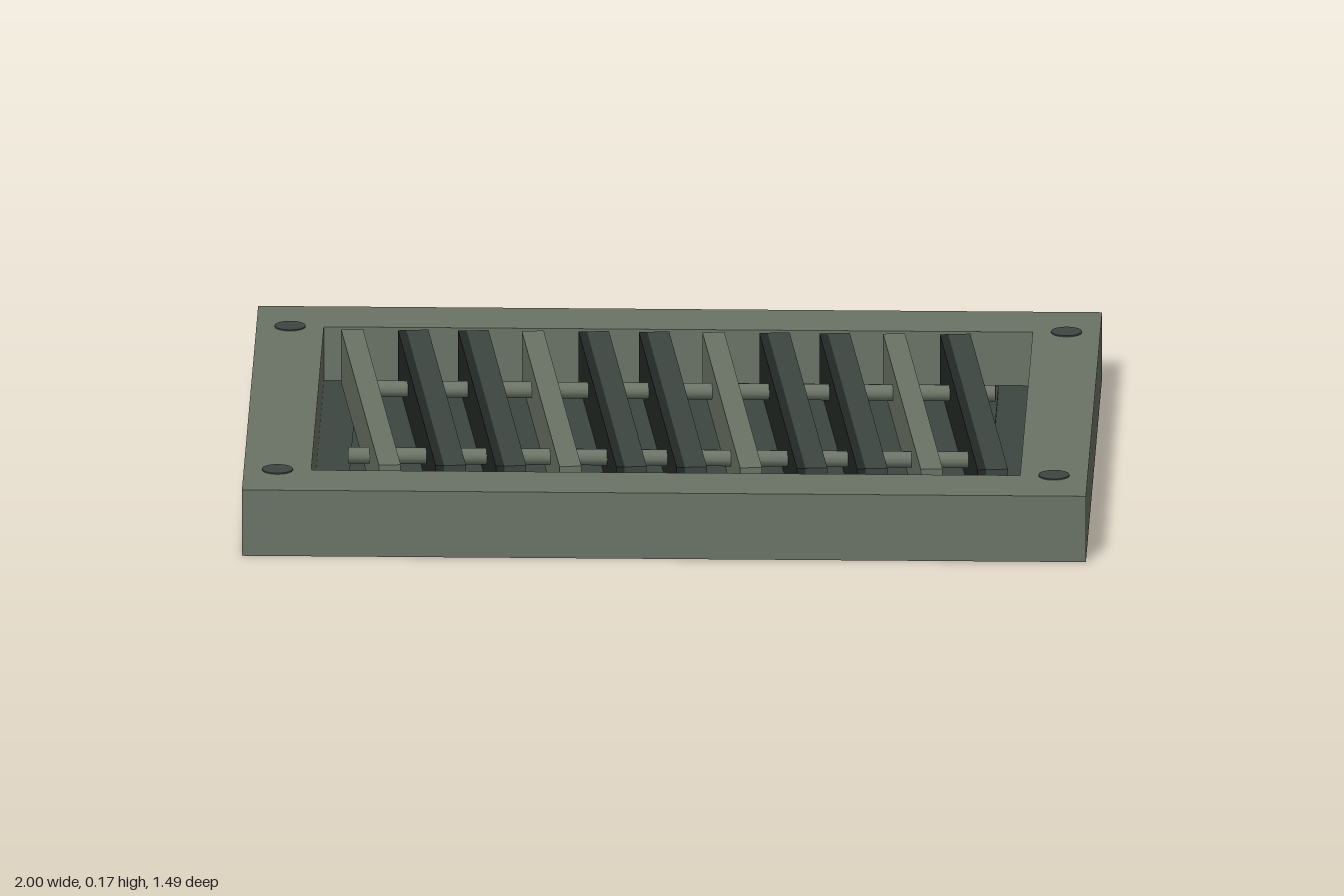
import * as THREE from 'three';

const mat = (name, color) => {
  const m = new THREE.MeshStandardMaterial({ color });
  m.name = name;
  return m;
};

export function createModel() {
  const grate = new THREE.Group();
  grate.name = 'floorGrate';
  const frameMat = mat('greyGreen', 0x6b7366);
  const darkMat = mat('darkGreen', 0x3c4641);
  const blackMat = mat('nearBlack', 0x222926);

  const add = (name, geo, material, x, y, z, parent = grate) => {
    const mesh = new THREE.Mesh(geo, material);
    mesh.name = name;
    mesh.position.set(x, y, z);
    parent.add(mesh);
    return mesh;
  };

  // Rectangular surround with an open centre
  const H = 0.163;
  const rect = (target, w, d) => {
    target.moveTo(-w, -d);
    target.lineTo(w, -d);
    target.lineTo(w, d);
    target.lineTo(-w, d);
    target.closePath();
    return target;
  };
  const outline = rect(new THREE.Shape(), 1, 0.745);
  outline.holes.push(rect(new THREE.Path(), 0.84, 0.58));
  const frameGeo = new THREE.ExtrudeGeometry(outline, { depth: H, bevelEnabled: false });
  frameGeo.rotateX(-Math.PI / 2);
  add('frame', frameGeo, frameMat, 0, 0, 0);

  // Backing plate and its slightly raised centre panel
  add('backingPlate', new THREE.BoxGeometry(1.68, 0.03, 1.16), darkMat, 0, 0.015, 0);
  add('centrePanel', new THREE.BoxGeometry(1.52, 0.012, 1.09), darkMat, 0, 0.034, 0);

  // Round cross rods under the slat tops
  for (const z of [-0.272, 0.268]) {
    const rod = new THREE.CylinderGeometry(0.02, 0.02, 1.52, 12);
    rod.rotateZ(Math.PI / 2);
    add('crossRod', rod, frameMat, 0, 0.105, z);
  }

  // Slanted slats: every third one is pale, the others carry a black side strip
  const top = 0.167, base = 0.036, mid = (top + base) / 2;
  for (let i = 0; i < 11; i++) {
    const pale = i % 3 === 0;
    const slat = new THREE.Group();
    slat.name = pale ? 'paleSlat' : 'darkSlat';
    slat.position.x = (i - 5) * 0.1427;
    slat.rotation.y = 0.107;
    add('slatBody', new THREE.BoxGeometry(0.052, top - base, 1.1),
      pale ? frameMat : darkMat, pale ? 0 : 0.012, mid, 0, slat);
    if (!pale) {
      add('slatSideStrip', new THREE.BoxGeometry(0.02, top - base, 1.1), blackMat, -0.024, mid, 0, slat);
    }
    grate.add(slat);
  }

  // Bolt heads at the four corners
  for (const x of [-0.92, 0.92]) {
    for (const z of [-0.58, 0.58]) {
      add('cornerBolt', new THREE.CylinderGeometry(0.037, 0.037, 0.008, 16), darkMat, x, 0.162, z);
    }
  }
  return grate;
}
